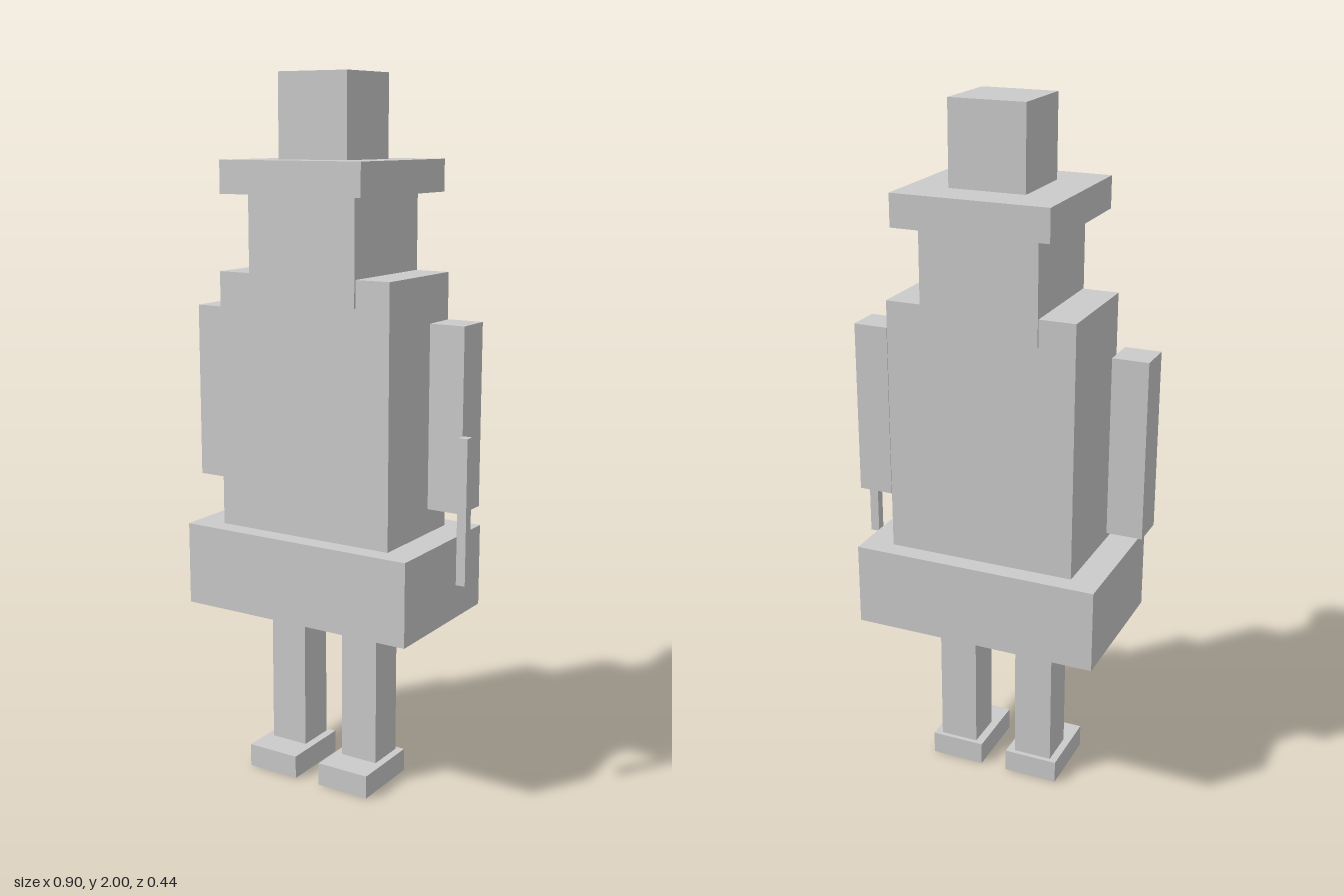
import * as THREE from 'three';

const material = new THREE.MeshStandardMaterial({ color: 0xcccccc, flatShading: true });

// Box centred on (x, z), reaching from y0 up to y1
function block(name, width, depth, y0, y1, x = 0, z = 0) {
  const mesh = new THREE.Mesh(new THREE.BoxGeometry(width, y1 - y0, depth), material);
  mesh.name = name;
  mesh.position.set(x, (y0 + y1) / 2, z);
  return mesh;
}

export function createModel() {
  const model = new THREE.Group();
  model.name = 'blockFigure';

  // The body sits slightly off centre to balance the stick in the left hand
  const figure = new THREE.Group();
  figure.name = 'figure';
  figure.position.set(-0.0175, 0, -0.002);
  model.add(figure);

  // Body and head
  figure.add(
    block('skirt', 0.716, 0.433, 0.503, 0.74),
    block('torso', 0.545, 0.322, 0.74, 1.465),
    block('head', 0.338, 0.333, 1.39, 1.68)
  );

  // Hat
  figure.add(
    block('hatBrim', 0.444, 0.445, 1.68, 1.77),
    block('hatCrown', 0.217, 0.215, 1.77, 2)
  );

  // Mirrored limbs
  for (const [side, s] of [['left', 1], ['right', -1]]) {
    figure.add(
      block(side + 'Arm', 0.102, 0.104, 0.845, 1.35, s * 0.384),
      block(side + 'Leg', 0.114, 0.114, 0.067, 0.503, s * 0.121, 0.002),
      block(side + 'Foot', 0.16, 0.215, 0, 0.067, s * 0.12, 0.039)
    );
  }

  // Stick beside the left hand
  figure.add(block('stick', 0.027, 0.027, 0.657, 1.06, 0.452, 0.069));

  return model;
}
